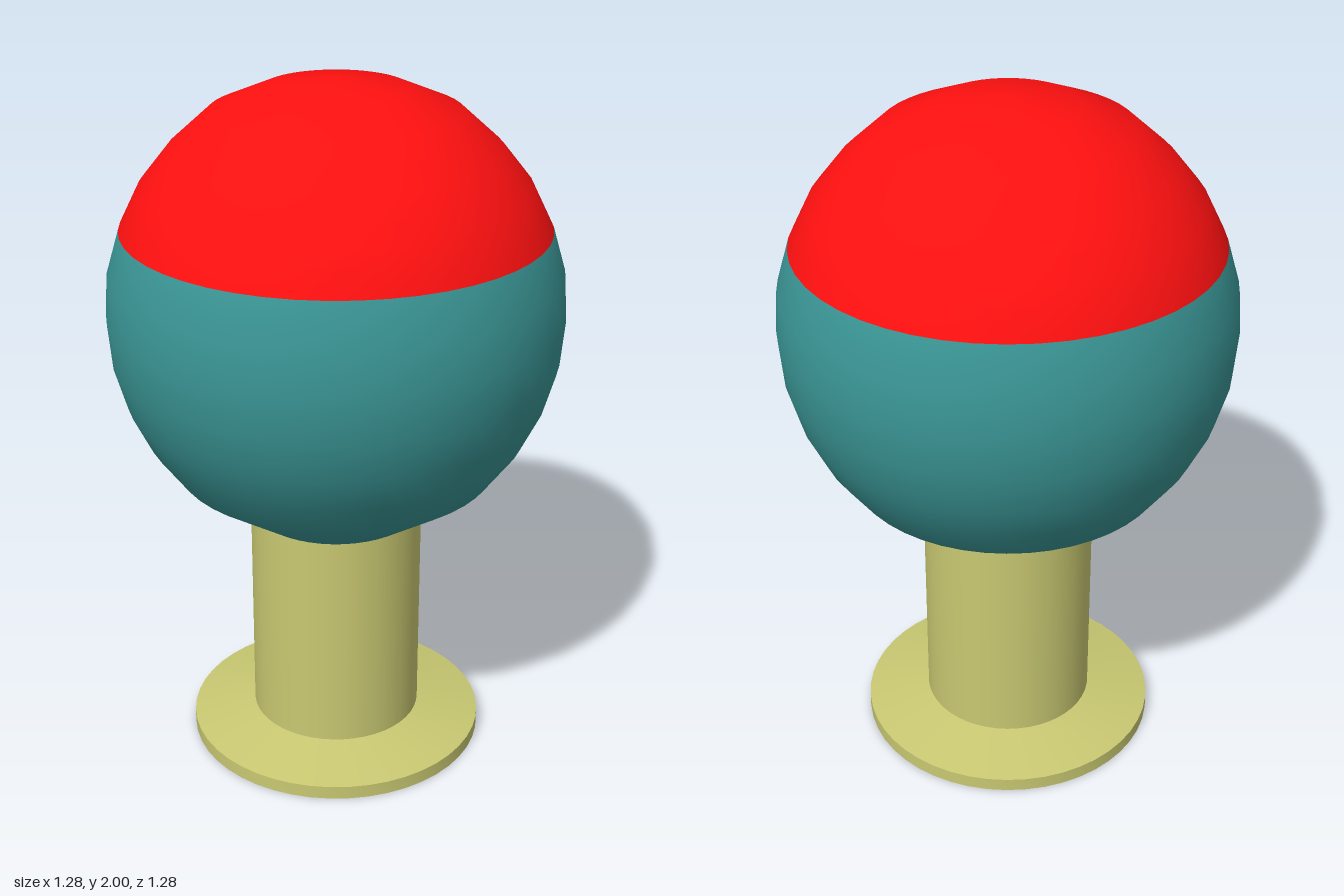
import * as THREE from 'three';
import { toCreasedNormals } from 'three/addons/utils/BufferGeometryUtils.js';

const SEGMENTS = 48;
const CENTRE_Y = 1.35;

function lathe(profile) {
  return new THREE.LatheGeometry(profile.map(([r, y]) => new THREE.Vector2(r, y)), SEGMENTS);
}

// Radial normals keep the shading continuous across the colour seam
function ballPart(profile) {
  const geometry = lathe(profile);
  const { position, normal } = geometry.attributes;
  const n = new THREE.Vector3();
  for (let i = 0; i < position.count; i++) {
    n.fromBufferAttribute(position, i);
    n.y -= CENTRE_Y;
    n.normalize();
    normal.setXYZ(i, n.x, n.y, n.z);
  }
  return geometry;
}

function addPart(group, name, geometry, color) {
  const mesh = new THREE.Mesh(geometry, new THREE.MeshStandardMaterial({ color }));
  mesh.name = name;
  group.add(mesh);
}

export function createModel() {
  const group = new THREE.Group();
  group.name = 'knob';

  // Flared foot and straight stem, closed underneath
  const foot = lathe([[0, 0], [0.435, 0], [0.435, 0.04], [0.25, 0.075]]);
  addPart(group, 'foot', toCreasedNormals(foot, 0.5), 0xc8c872);
  addPart(group, 'stem', lathe([[0.25, 0.075], [0.25, 0.735]]), 0xc8c872);

  // Lower ball, tapering in a straight cone to the stem
  addPart(group, 'ball', ballPart([
    [0.25, 0.735], [0.46, 0.88], [0.54, 0.99], [0.593, 1.1], [0.627, 1.22],
    [0.638, 1.35], [0.63, 1.47], [0.593, 1.593],
  ]), 0x3a9494);

  // Coloured dome on top
  addPart(group, 'dome', ballPart([
    [0.593, 1.593], [0.535, 1.71], [0.455, 1.81], [0.344, 1.91], [0.196, 1.973], [0, 2],
  ]), 0xff1010);

  return group;
}
